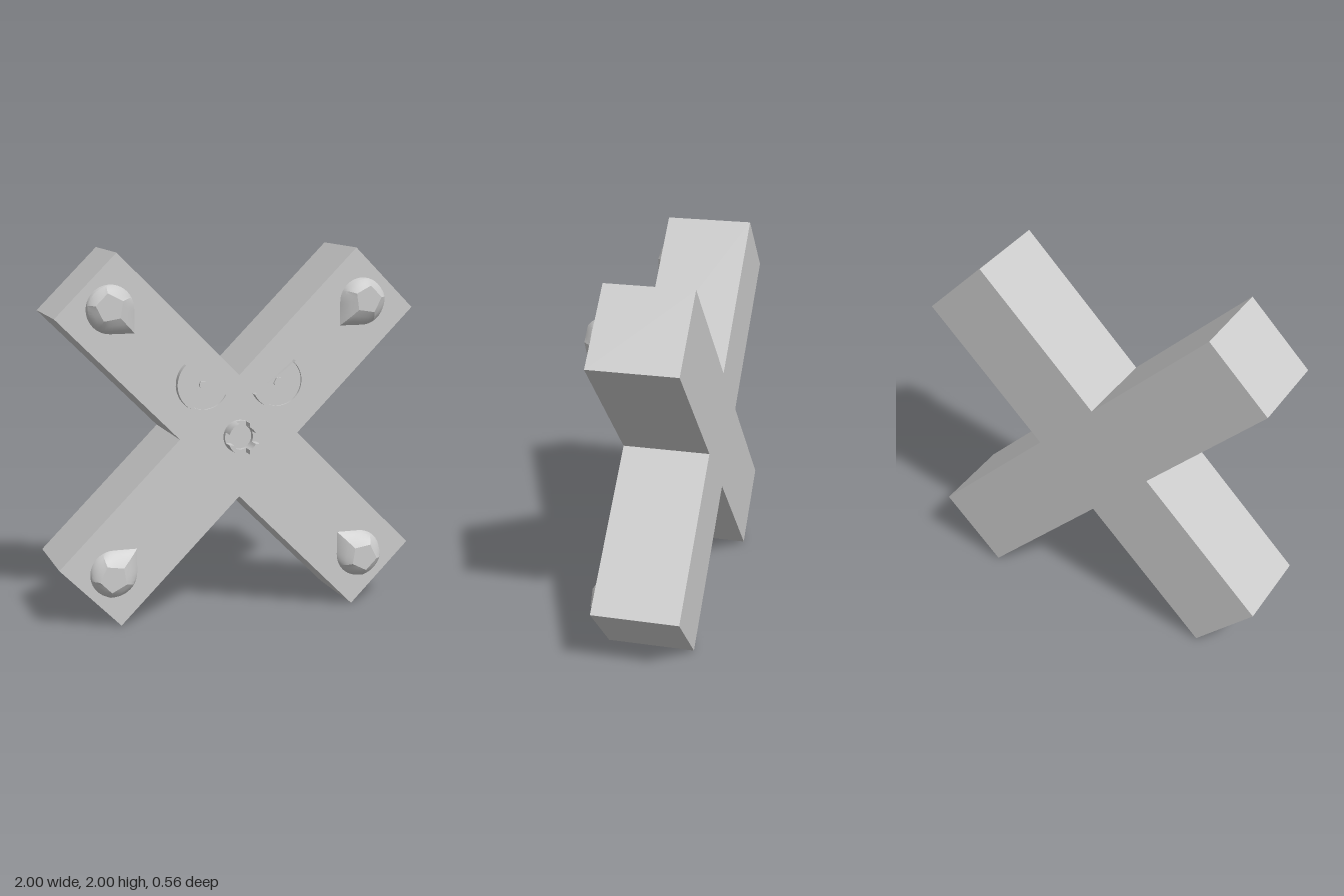
import * as THREE from 'three';
import { toCreasedNormals } from 'three/addons/utils/BufferGeometryUtils.js';

const FACE = 0.19, BACK = -0.28; // front and back planes of the body

export function createModel() {
  const root = new THREE.Group();
  const material = new THREE.MeshStandardMaterial({ color: 0xcccccc });

  function add(name, geometry, parent = root) {
    const mesh = new THREE.Mesh(geometry, material);
    mesh.name = name;
    parent.add(mesh);
    return mesh;
  }
  function slab(points, z0, z1) {
    const shape = new THREE.Shape(points.map(([x, y]) => new THREE.Vector2(x, y)));
    const geo = new THREE.ExtrudeGeometry(shape, { depth: z1 - z0, bevelEnabled: false });
    geo.translate(0, 0, z0);
    return toCreasedNormals(geo, 0.5);
  }
  function arc(cx, cy, r, a0, a1, n = 28) {
    return Array.from({ length: n + 1 }, (_, i) => {
      const a = a0 + (a1 - a0) * i / n;
      return [cx + r * Math.cos(a), cy + r * Math.sin(a)];
    });
  }

  // Body: diagonal cross
  const t = 1 / 3;
  add('crossBody', slab([
    [0, 1 + t], [-2 * t, 2], [-1, 2 - t], [-t, 1], [-1, t], [-2 * t, 0],
    [0, 1 - t], [2 * t, 0], [1, t], [t, 1], [1, 2 - t], [2 * t, 2],
  ], BACK, FACE));

  // Teardrop studs near the arm ends, points aimed at the centre
  const studGeo = teardropStud();
  for (const sx of [-1, 1]) for (const sy of [-1, 1]) {
    const stud = add('armStud', studGeo);
    stud.position.set(0.705 * sx, 1 + 0.708 * sy, FACE);
    stud.rotation.z = Math.atan2(-sy, -sx);
  }

  // Slanted half-round eyes: plate, raised rim and small pupil
  for (const s of [1, -1]) {
    const eye = new THREE.Group();
    eye.name = s > 0 ? 'leftEye' : 'rightEye';
    root.add(eye);
    const cx = 0.207, cy = 1.296, a0 = 0.82, a1 = -Math.PI + 0.47;
    const mirror = (pts) => pts.map(([x, y]) => [s * x, y]);
    const outer = arc(cx, cy, 0.148, a0, a1);
    const inner = arc(cx, cy, 0.134, a0, a1);
    const brow = [0.2, 1.314];
    add('eyePlate', slab(mirror([...inner, brow]), FACE - 0.01, 0.215), eye);
    add('eyeRim', slab(mirror([...outer, ...inner.slice().reverse()]), FACE - 0.01, 0.228), eye);
    add('pupil', slab(mirror([...arc(cx, cy, 0.026, a0, a1, 12), brow]), FACE - 0.01, 0.228), eye);
  }

  // Central socket: a low ring carrying four prongs
  const socket = new THREE.Group();
  socket.name = 'centreSocket';
  root.add(socket);
  const ro = 0.09, ri = 0.068, gap = 0.029;
  const profile = [[ri, 0], [ro, 0], [ro, 0.028], [ri, 0.028], [ri, 0]]
    .map(([r, h]) => new THREE.Vector2(r, h));
  const ring = toCreasedNormals(new THREE.LatheGeometry(profile, 40), 0.5);
  ring.rotateX(Math.PI / 2).translate(0, 1, FACE);
  add('socketRing', ring, socket);
  const ao = Math.asin(gap / ro), ai = Math.asin(gap / ri), q = Math.PI / 2;
  for (let i = 0; i < 4; i++) {
    add('socketProng', slab([
      ...arc(0, 1, ro, i * q + ao, (i + 1) * q - ao, 8),
      ...arc(0, 1, ri, (i + 1) * q - ai, i * q + ai, 8),
    ], FACE + 0.028, 0.285), socket);
  }
  return root;
}

// Teardrop with a right-angled point along +x, lofted up to a pentagonal flat top
function teardropStud() {
  const n = 40, r = 0.129, top = 0.077, cx = -0.018;
  const rows = [0, 0.35, 0.7, 1];
  const pos = [], index = [];
  rows.forEach((k) => {
    for (let i = 0; i < n; i++) {
      const a = (i / n) * 2 * Math.PI, c = Math.cos(a), s = Math.sin(a);
      const b = Math.abs(Math.atan2(s, c));
      const base = b < Math.PI / 4 ? r / Math.cos(Math.PI / 4 - b) : r;
      const side = (2 * Math.PI) / 5;
      const off = a - Math.round(a / side) * side;
      const pent = top * Math.cos(side / 2) / Math.cos(side / 2 - Math.abs(off));
      const bulge = 0.012 * Math.sin(k * Math.PI);
      const rad = base + (pent - base) * k + bulge;
      pos.push(rad * c + cx * k, rad * s, 0.06 * k);
    }
  });
  for (let j = 0; j < rows.length - 1; j++) for (let i = 0; i < n; i++) {
    const a = j * n + i, b = j * n + (i + 1) % n;
    index.push(a, b, b + n, a, b + n, a + n);
  }
  const centre = pos.length / 3, last = (rows.length - 1) * n;
  pos.push(cx, 0, 0.06);
  for (let i = 0; i < n; i++) index.push(last + i, last + (i + 1) % n, centre);
  const geo = new THREE.BufferGeometry();
  geo.setAttribute('position', new THREE.Float32BufferAttribute(pos, 3));
  geo.setIndex(index);
  return toCreasedNormals(geo, 0.4);
}
